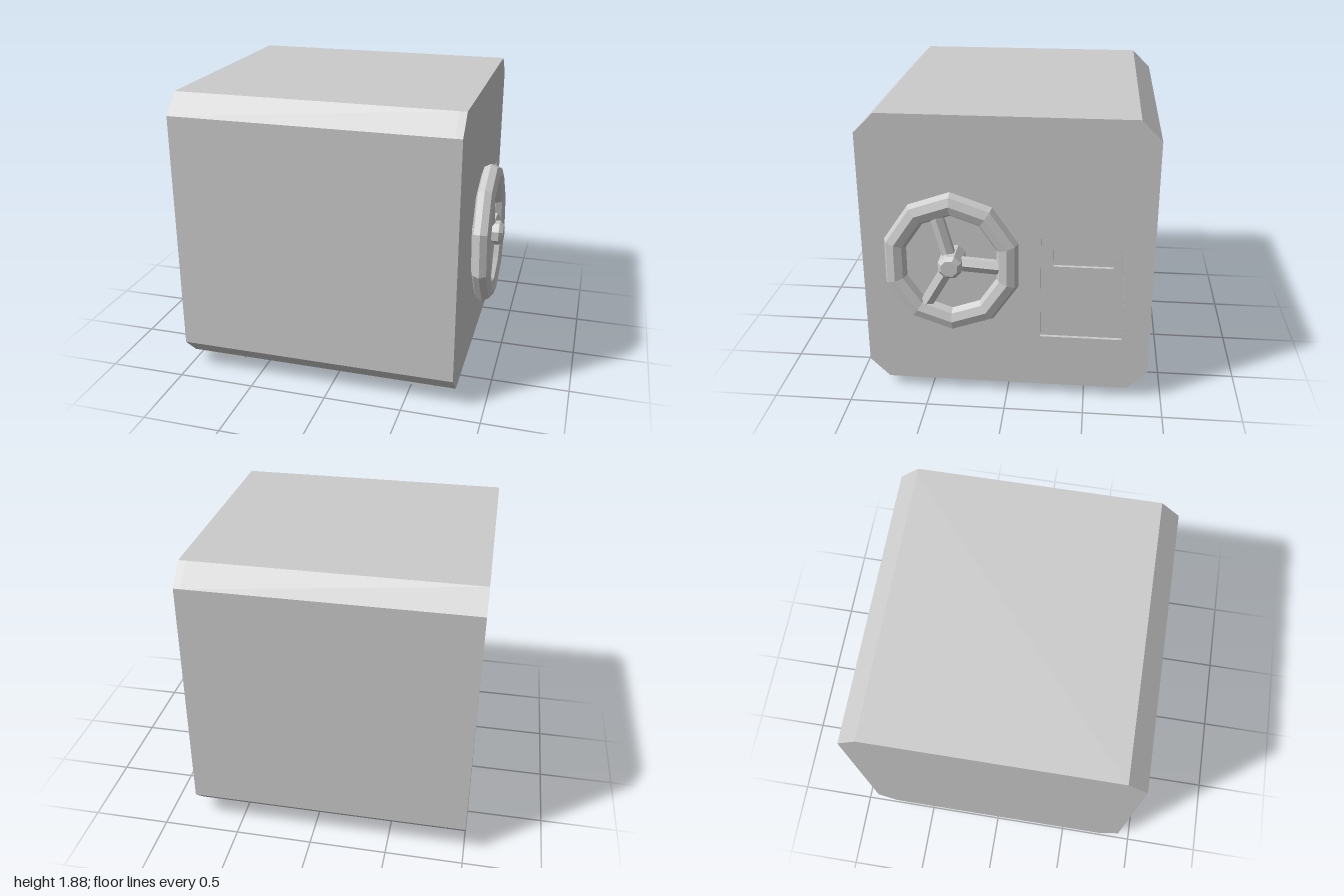
import * as THREE from 'three';

const mat = new THREE.MeshStandardMaterial({ color: 0xcccccc, flatShading: true });
const openMat = new THREE.MeshStandardMaterial({ color: 0xcccccc, flatShading: true, side: THREE.DoubleSide });

function add(parent, name, geometry, material = mat) {
  const mesh = new THREE.Mesh(geometry, material);
  mesh.name = name;
  parent.add(mesh);
  return mesh;
}

// Chamfered square outline of the cabinet
function outline() {
  const w = 0.905, c = 0.125, y0 = 0.073, y1 = 1.88;
  return new THREE.Shape([
    [-w + c, y0], [w - c, y0], [w, y0 + c], [w, y1 - c],
    [w - c, y1], [-w + c, y1], [-w, y1 - c], [-w, y0 + c],
  ].map(([x, y]) => new THREE.Vector2(x, y)));
}

function rectHole(x0, x1, y0, y1) {
  return new THREE.Path([[x0, y0], [x0, y1], [x1, y1], [x1, y0]].map(([x, y]) => new THREE.Vector2(x, y)));
}

// One slice of the cabinet, optionally cut by a recess
function slice(z0, z1, hole) {
  const shape = outline();
  if (hole) shape.holes.push(hole);
  return new THREE.ExtrudeGeometry(shape, { depth: z1 - z0, bevelEnabled: false }).translate(0, 0, z0);
}

export function createModel() {
  const model = new THREE.Group();
  model.name = 'safe';

  // Built with the door facing +z, then turned so the door faces +x
  const safe = new THREE.Group();
  safe.name = 'cabinet';
  safe.rotation.y = Math.PI / 2;
  model.add(safe);

  // Cabinet body, with a shallow panel recess and a deeper slot in it
  const front = 0.807;
  add(safe, 'body', slice(-1, front - 0.045));
  add(safe, 'slotLayer', slice(front - 0.045, front - 0.022, rectHole(0.29, 0.66, 0.92, 1.04)));
  add(safe, 'panelLayer', slice(front - 0.022, front, rectHole(0.213, 0.73, 0.43, 1.115)));

  // Hollow square feet
  for (const x of [-0.602, 0.602]) {
    for (const z of [-0.765, 0.568]) {
      const geo = new THREE.CylinderGeometry(0.131, 0.131, 0.075, 4, 1, true).rotateY(Math.PI / 4);
      add(safe, 'foot', geo, openMat).position.set(x, 0.0375, z);
    }
  }

  // Hand wheel, leaning back slightly
  const wheel = new THREE.Group();
  wheel.name = 'handWheel';
  wheel.position.set(-0.325, 0.98, 0.907);
  wheel.rotation.x = -0.022;
  safe.add(wheel);
  add(wheel, 'rim', new THREE.TorusGeometry(0.382, 0.075, 8, 10).rotateZ(Math.PI / 2).scale(0.943, 1, 0.78));

  // Three spokes
  for (const deg of [-3.5, 106, 238.5]) {
    const geo = new THREE.CylinderGeometry(0.047, 0.047, 0.33, 6).translate(0, 0.165, 0);
    geo.rotateZ(THREE.MathUtils.degToRad(deg - 90)).scale(0.943, 1, 0.85);
    add(wheel, 'spoke', geo);
  }

  // Chamfered octagonal hub and shaft
  const profile = [[0, 0.78], [0.077, 0.78], [0.077, 0.975], [0.053, 1], [0, 1]];
  const hub = new THREE.LatheGeometry(profile.map(([r, h]) => new THREE.Vector2(r, h)), 8);
  hub.rotateY(Math.PI / 8).rotateX(Math.PI / 2);
  add(safe, 'hub', hub).position.set(-0.325, 0.98, 0);

  return model;
}
